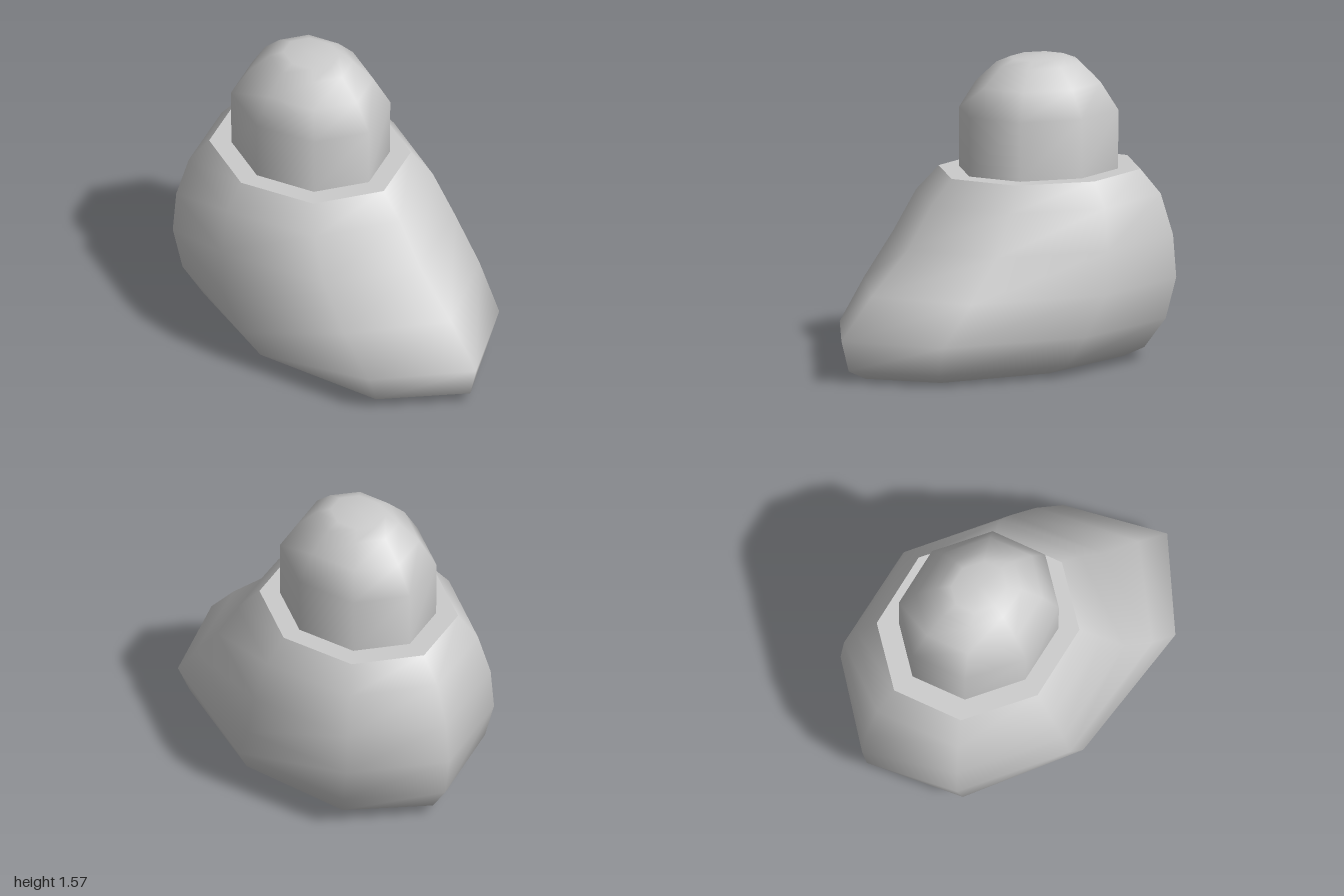
import * as THREE from 'three';
import { mergeVertices } from 'three/addons/utils/BufferGeometryUtils.js';

const SIDES = 8;

// Skins a stack of octagonal rings, listed from bottom to top.
// Ring: [y, half width, middle z, front z, back z, front-to-back tilt in y]
function loft(name, rings) {
  const pos = [], index = [];
  for (const [y, w, mid, front, back, tilt = 0] of rings) {
    for (let j = 0; j < SIDES; j++) {
      const a = (j / SIDES) * Math.PI * 2;
      const c = Math.cos(a);
      const z = mid + c * (c > 0 ? front - mid : mid - back);
      pos.push(w * Math.sin(a), y - tilt * c, z);
    }
  }
  for (let i = 0; i < rings.length - 1; i++) {
    for (let j = 0; j < SIDES; j++) {
      const k = (j + 1) % SIDES;
      const a = i * SIDES + j, b = i * SIDES + k;
      const c = b + SIDES, d = a + SIDES;
      if (rings[i][1] > 0) index.push(a, b, c);
      if (rings[i + 1][1] > 0) index.push(a, c, d);
      else if (rings[i][1] > 0) continue;
    }
  }
  let geo = new THREE.BufferGeometry();
  geo.setAttribute('position', new THREE.Float32BufferAttribute(pos, 3));
  geo.setIndex(index);
  geo = mergeVertices(geo, 1e-4); // joins the points at each pole
  geo.computeVertexNormals();
  const mesh = new THREE.Mesh(geo, new THREE.MeshStandardMaterial({ color: 0xcccccc }));
  mesh.name = name;
  return mesh;
}

export function createModel() {
  const group = new THREE.Group();
  group.name = 'figure';

  // Rounded body, reaching forward into a low pointed toe
  group.add(loft('body', [
    [0.003, 0, 0.06, 0.06, 0.06],
    [0.006, 0.2, 0.05, 0.48, -0.38, 0.004],
    [0.018, 0.46, 0.03, 0.85, -0.765, 0.008],
    [0.066, 0.55, -0.02, 0.955, -0.865, 0.006],
    [0.22, 0.64, -0.07, 1.0, -0.97],
    [0.43, 0.665, -0.18, 0.81, -1.0],
    [0.65, 0.645, -0.205, 0.58, -0.975],
    [0.86, 0.58, -0.235, 0.435, -0.9],
    [0.985, 0.48, -0.24, 0.31, -0.79],
  ]));

  // Flat shoulder ledge around the neck
  group.add(loft('shoulderLedge', [
    [0.985, 0.48, -0.24, 0.31, -0.79],
    [0.985, 0.375, -0.235, 0.2, -0.67],
  ]));

  // Straight neck rising into a domed head
  group.add(loft('head', [
    [0.985, 0.375, -0.235, 0.2, -0.67],
    [1.29, 0.378, -0.235, 0.2, -0.67],
    [1.43, 0.295, -0.235, 0.11, -0.575],
    [1.53, 0.195, -0.235, 0.0, -0.465],
    [1.56, 0.13, -0.235, -0.08, -0.385],
    [1.568, 0, -0.235, -0.235, -0.235],
  ]));

  return group;
}
